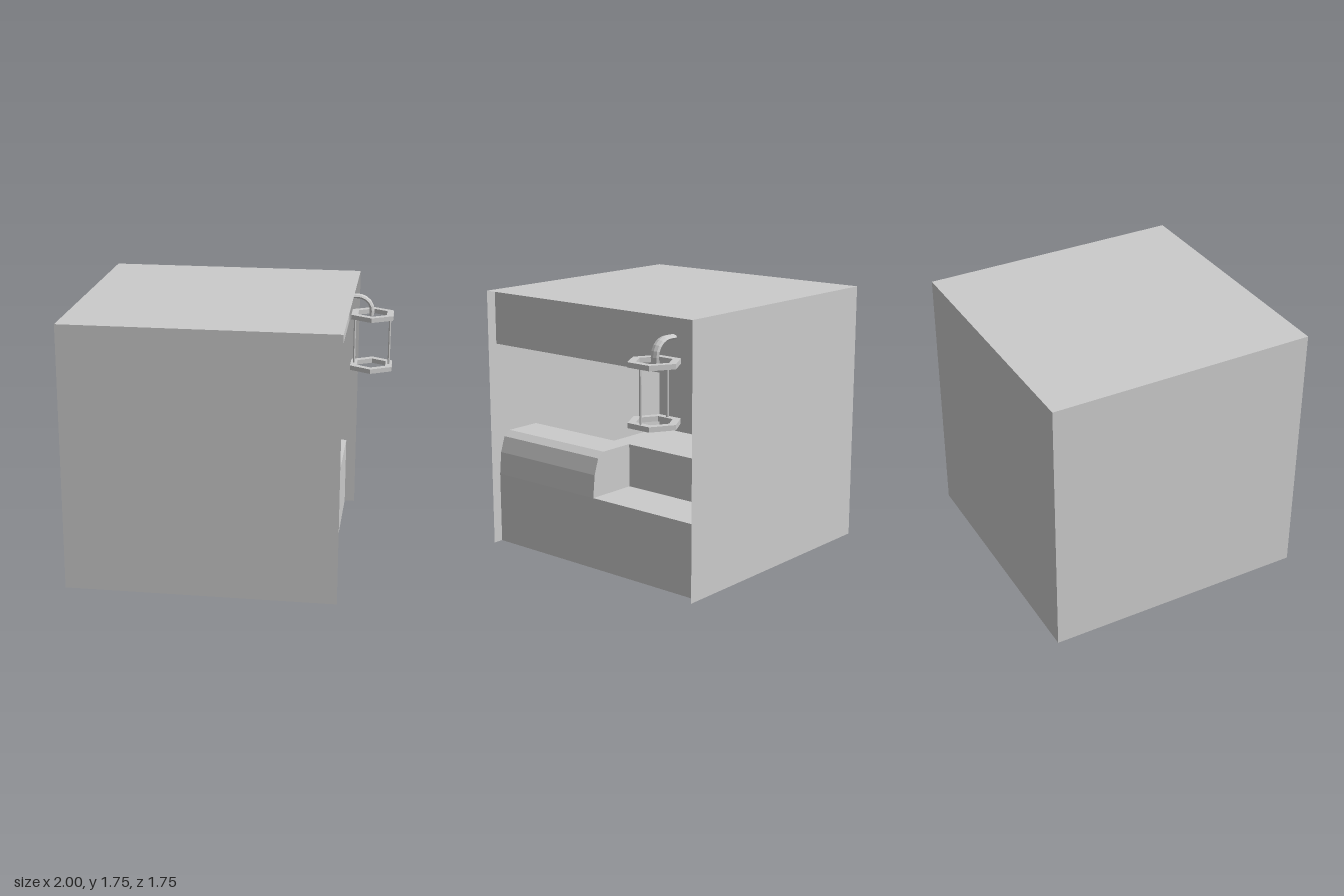
import * as THREE from 'three';

const material = new THREE.MeshStandardMaterial({ color: 0xcccccc, flatShading: true, side: THREE.DoubleSide });
const X0 = -1, X1 = 0.75, H = 1.75, Z = 0.875;

function add(parent, name, geometry, x = 0, y = 0, z = 0) {
  const mesh = new THREE.Mesh(geometry, material);
  mesh.name = name;
  mesh.position.set(x, y, z);
  parent.add(mesh);
  return mesh;
}

// Thin sheet facing along x, y or z, spanning the two other axes.
function sheet(parent, name, axis, w, h, x, y, z) {
  const g = new THREE.PlaneGeometry(w, h);
  if (axis === 'x') g.rotateY(Math.PI / 2);
  if (axis === 'y') g.rotateX(-Math.PI / 2);
  return add(parent, name, g, x, y, z);
}

// Hexagonal lantern ring with points along z.
function hexRing(outer, inner, height) {
  const corners = r => Array.from({ length: 6 }, (_, i) => {
    const a = Math.PI / 6 + i * Math.PI / 3;
    return new THREE.Vector2(r * Math.cos(a), r * Math.sin(a));
  });
  const shape = new THREE.Shape(corners(outer));
  shape.holes.push(new THREE.Path(corners(inner)));
  return new THREE.ExtrudeGeometry(shape, { depth: height, bevelEnabled: false }).rotateX(-Math.PI / 2);
}

export function createModel() {
  const model = new THREE.Group();
  const mid = (X0 + X1) / 2, width = X1 - X0, depth = 2 * Z;

  // Shell, open on the right side and underneath
  const shell = new THREE.Group();
  shell.name = 'shell';
  model.add(shell);
  sheet(shell, 'frontWall', 'z', width, H, mid, H / 2, Z);
  sheet(shell, 'backWall', 'z', width, H, mid, H / 2, -Z);
  sheet(shell, 'sideWall', 'x', depth, H, X0, H / 2, 0);
  sheet(shell, 'roof', 'y', width, depth, mid, H, 0);

  // Recessed header and ledge along the opening
  const xFace = 0.68, xRear = 0.33, yLedge = 0.48, yHeader = 1.385;
  const run = xFace - xRear, xMid = (xFace + xRear) / 2;
  sheet(model, 'headerFace', 'x', depth, H - yHeader, xFace, (H + yHeader) / 2, 0);
  sheet(model, 'headerSoffit', 'y', run, depth, xMid, yHeader, 0);
  sheet(model, 'ledgeFace', 'x', depth, yLedge, xFace, yLedge / 2, 0);
  sheet(model, 'ledgeTop', 'y', run, depth, xMid, yLedge, 0);

  // Bench against the far wall
  const xBench = -0.47;
  sheet(model, 'benchFace', 'x', depth, yLedge, xBench, yLedge / 2, 0);
  sheet(model, 'benchTop', 'y', xBench - X0, depth, (X0 + xBench) / 2, yLedge, 0);

  // Rounded raised block on the front half of the ledge
  const profile = [[xRear, yLedge], [xFace, yLedge], [0.665, 0.63], [0.63, 0.735], [0.58, 0.77], [xRear, 0.77]];
  const block = new THREE.Shape(profile.map(([x, y]) => new THREE.Vector2(x, y)));
  add(model, 'raisedBlock', new THREE.ExtrudeGeometry(block, { depth: Z, bevelEnabled: false }));

  // Hanging lantern
  const lantern = new THREE.Group();
  lantern.name = 'lantern';
  lantern.position.set(0.853, 0, -0.67);
  model.add(lantern);
  for (const [name, y] of [['lowerRing', 1.105], ['upperRing', 1.47]]) {
    add(lantern, name, hexRing(0.167, 0.115, 0.032), 0, y, 0);
  }
  for (const side of [-1, 1]) {
    add(lantern, 'rod', new THREE.CylinderGeometry(0.009, 0.009, 0.35, 6), side * 0.122, 1.305, 0);
  }

  // Flattened hook from the header down into the lantern
  const path = new THREE.CatmullRomCurve3([
    [0.67, 1.617], [0.77, 1.615], [0.82, 1.587], [0.845, 1.54], [0.845, 1.485],
  ].map(([x, y]) => new THREE.Vector3(x, y, 0)));
  const hook = new THREE.TubeGeometry(path, 8, 0.017, 8, false).scale(1, 1, 1.85);
  add(model, 'hook', hook, 0, 0, -0.67);

  return model;
}
